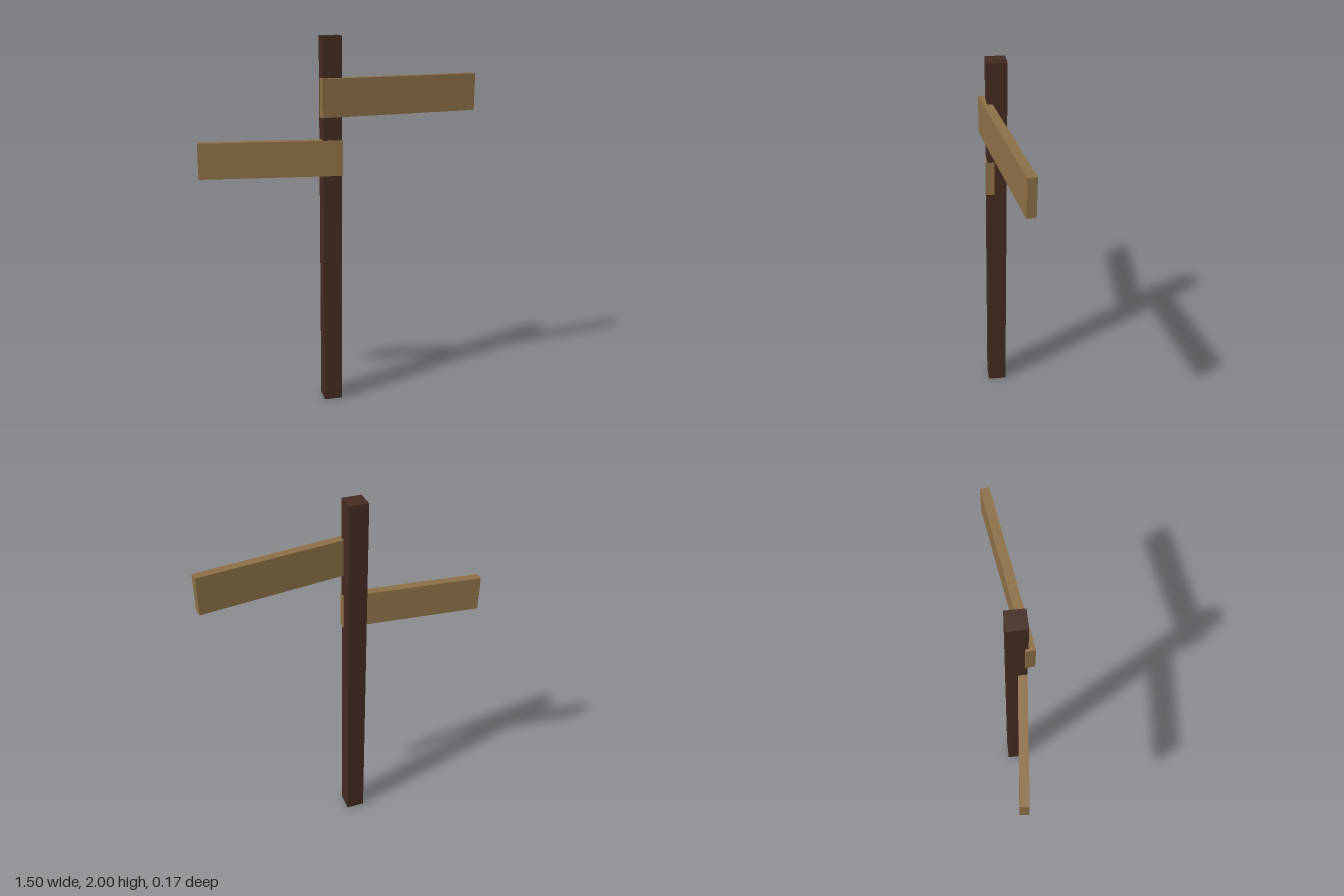
import * as THREE from 'three';

export function createModel() {
  const model = new THREE.Group();
  model.name = 'signpost';

  const darkWood = new THREE.MeshStandardMaterial({ color: 0x432b21 });
  darkWood.name = 'dark wood';
  const lightWood = new THREE.MeshStandardMaterial({ color: 0x8b6f47 });
  lightWood.name = 'light wood';

  // A box placed by its centre and turned about the vertical axis
  const addBox = (name, material, size, centre, turn = 0) => {
    const mesh = new THREE.Mesh(new THREE.BoxGeometry(...size), material);
    mesh.name = name;
    mesh.position.set(...centre);
    mesh.rotation.y = turn;
    model.add(mesh);
  };

  // Square post
  addBox('post', darkWood, [0.1, 2, 0.1], [-0.06, 1, 0]);

  // Direction boards, angled backwards to either side
  addBox('upperBoard', lightWood, [0.875, 0.197, 0.046], [0.311, 1.692, 0], 0.139);
  addBox('lowerBoard', lightWood, [0.746, 0.187, 0.046], [-0.377, 1.378, 0], -0.103);

  return model;
}
